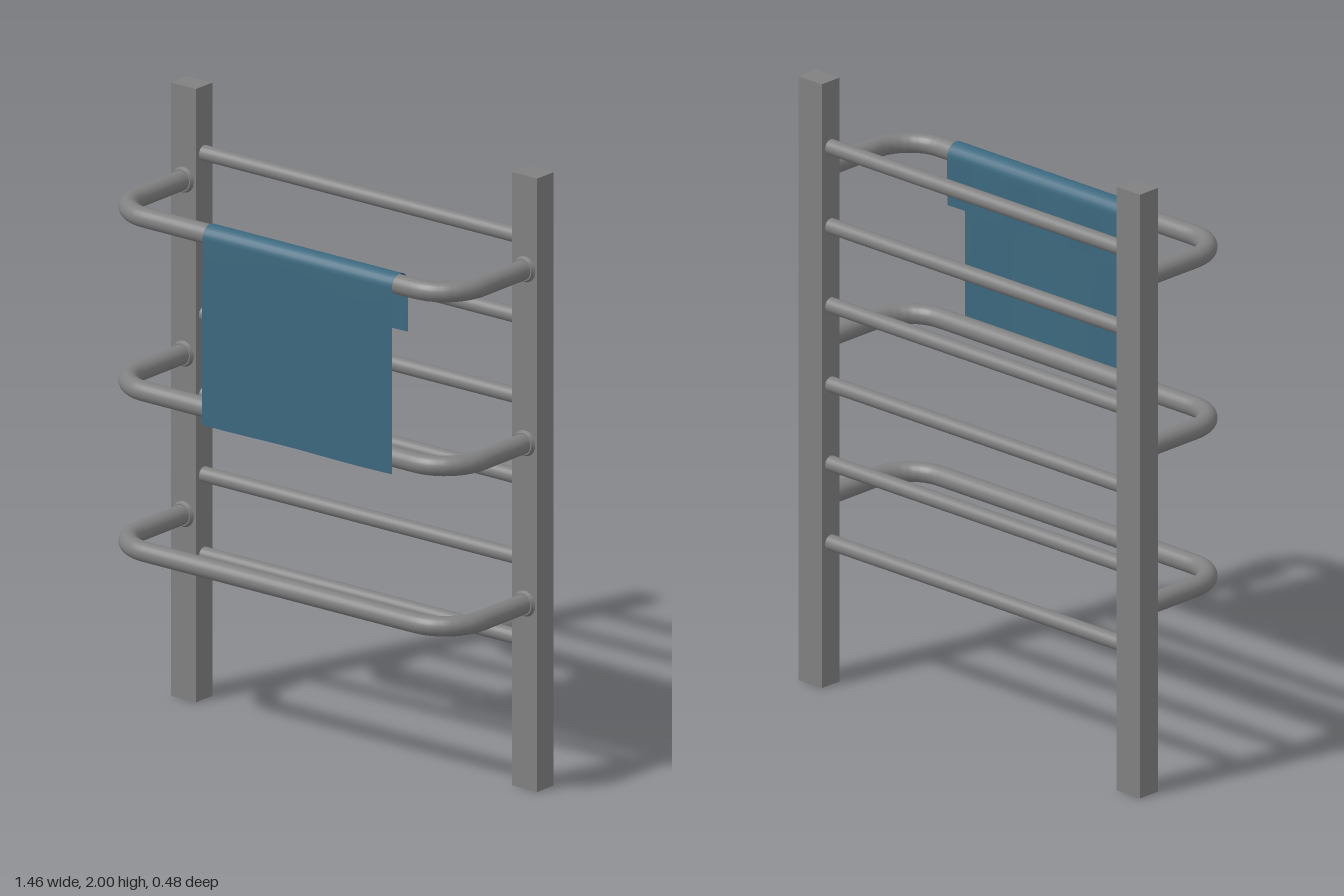
import * as THREE from 'three';

export function createModel() {
  const model = new THREE.Group();
  model.name = 'towelRail';
  const metal = new THREE.MeshStandardMaterial({ color: 0x808080 });
  metal.name = 'brushed grey';
  const cloth = new THREE.MeshStandardMaterial({ color: 0x3c687e, side: THREE.DoubleSide });
  cloth.name = 'towel blue';

  const add = (name, geometry, material, x = 0, y = 0, z = 0) => {
    const mesh = new THREE.Mesh(geometry, material);
    mesh.name = name;
    mesh.position.set(x, y, z);
    model.add(mesh);
    return mesh;
  };

  // upright posts
  const postX = 0.68, postZ = -0.2, postFront = -0.16;
  const post = new THREE.BoxGeometry(0.1, 2, 0.08);
  add('leftPost', post, metal, postX, 1, postZ);
  add('rightPost', post, metal, -postX, 1, postZ);

  // straight rungs between the posts
  const rung = new THREE.CylinderGeometry(0.025, 0.025, 1.28, 24).rotateZ(Math.PI / 2);
  for (let i = 0; i < 6; i++) add('straightRung', rung, metal, 0, 0.472 + i * 0.262, postZ);

  // bowed rails with rounded corners, each with a collar at both posts
  const railZ = 0.197, bend = 0.14, railRadius = 0.032;
  const v = (x, z) => new THREE.Vector3(x, 0, z);
  const corner = (side) => {
    const points = [];
    for (let i = 0; i <= 12; i++) {
      const a = (i / 12) * Math.PI / 2;
      points.push(v(side * (postX - bend + bend * Math.cos(a)), railZ - bend + bend * Math.sin(a)));
    }
    return points;
  };
  const path = new THREE.CurvePath();
  const points = [v(postX, postFront - 0.01), ...corner(1), ...corner(-1).reverse(), v(-postX, postFront - 0.01)];
  for (let i = 1; i < points.length; i++) path.add(new THREE.LineCurve3(points[i - 1], points[i]));
  const rail = new THREE.TubeGeometry(path, 160, railRadius, 24, false);
  const collar = new THREE.CylinderGeometry(0.036, 0.042, 0.012, 24).rotateX(Math.PI / 2);
  for (const y of [0.604, 1.127, 1.694]) {
    add('bowedRail', rail, metal, 0, y, 0);
    for (const side of [-1, 1]) add('railCollar', collar, metal, side * postX, y, postFront + 0.006);
  }

  // towel folded over the top rail: long front, rounded top, short back
  const foldY = 1.69, foldR = 0.04, frontDrop = 0.605, backDrop = 0.16;
  const cols = 32, rows = 28, arcStart = 8, arcEnd = 20;
  const towel = new THREE.PlaneGeometry(0.755, 1, cols, rows);
  const pos = towel.attributes.position;
  for (let i = 0; i < pos.count; i++) {
    const row = Math.floor(i / (cols + 1));
    const x = pos.getX(i) + 0.097;
    let y, z;
    if (row < arcStart) {
      const t = 1 - row / arcStart;
      y = foldY - backDrop * t;
      z = railZ - foldR + 0.003 * t * Math.sin(x * 23 - 1.9);
    } else if (row <= arcEnd) {
      const a = Math.PI * (1 - (row - arcStart) / (arcEnd - arcStart));
      y = foldY + foldR * Math.sin(a);
      z = railZ + foldR * Math.cos(a);
    } else {
      const t = (row - arcEnd) / (rows - arcEnd);
      y = foldY - frontDrop * t;
      z = railZ + foldR + 0.003 * t * Math.sin(x * 12 + 4);
    }
    pos.setXYZ(i, x, y, z);
  }
  towel.computeVertexNormals();
  add('towel', towel, cloth);

  return model;
}
